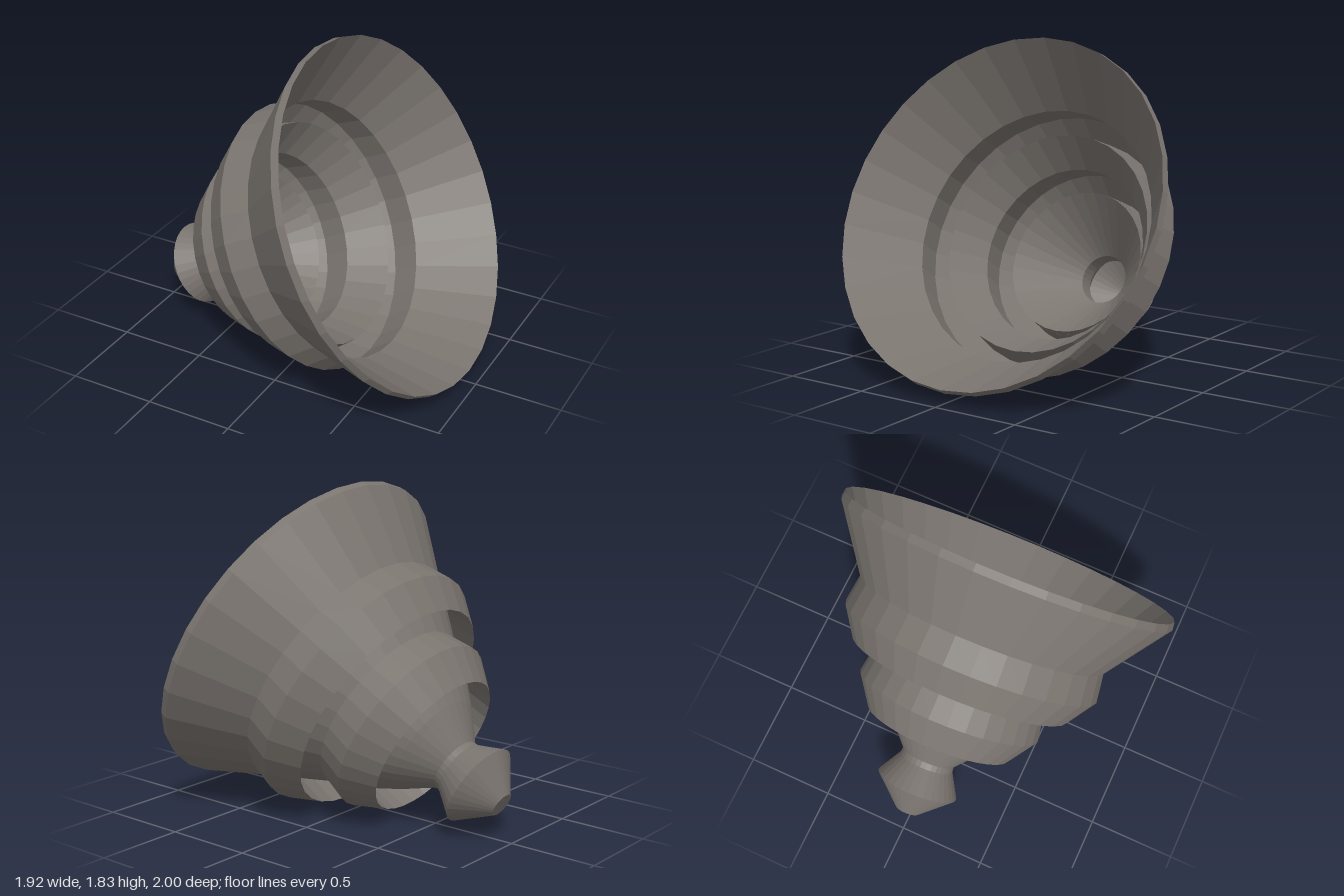
import * as THREE from 'three';

// Tilted, stepped bell with a thin double wall and a hollow knob at its narrow end.
export function createModel() {
  const root = new THREE.Group();
  const bell = new THREE.Group();
  bell.name = 'steppedBell';
  root.add(bell);

  const material = new THREE.MeshStandardMaterial({
    color: 0x7b7570, flatShading: true, side: THREE.DoubleSide,
  });

  // Each profile is [radius, height along axis]; height 0 is the mouth plane.
  const parts = {
    // Outside, from the rear to the mouth
    knob: [[0, -1.61], [0.07, -1.61], [0.241, -1.443], [0.161, -1.301], [0.157, -1.265]],
    crownCone: [[0.157, -1.265], [0.3, -1.1], [0.427, -0.93]],
    // Each step hangs over the cone behind it, leaving an undercut groove
    smallStep: [[0.427, -0.93], [0.434, -1.105], [0.547, -0.933], [0.518, -0.76]],
    middleCone: [[0.518, -0.76], [0.64, -0.575]],
    largeStep: [[0.64, -0.575], [0.66, -0.759], [0.768, -0.589], [0.742, -0.42]],
    mouthCone: [[0.742, -0.42], [0.999, -0.043]],
    rim: [[0.999, -0.043], [0.992, 0.002]],
    // Inside, from the mouth to the rear
    mouthLining: [[0.992, 0.002], [0.73, -0.398]],
    largeStepLining: [[0.73, -0.398], [0.757, -0.57], [0.672, -0.715], [0.636, -0.534]],
    middleLining: [[0.636, -0.534], [0.507, -0.74]],
    smallStepLining: [[0.507, -0.74], [0.536, -0.915], [0.446, -1.065], [0.42, -0.885]],
    crownLining: [[0.42, -0.885], [0.145, -1.23]],
    knobLining: [[0.145, -1.23], [0.145, -1.326], [0.212, -1.44], [0.055, -1.58], [0, -1.58]],
  };
  for (const [name, profile] of Object.entries(parts)) {
    const points = profile.map(([r, h]) => new THREE.Vector2(r, h));
    const mesh = new THREE.Mesh(new THREE.LatheGeometry(points, 32), material);
    mesh.name = name;
    bell.add(mesh);
  }

  // Lean the axis so the mouth opens toward +x and upward
  bell.rotation.z = -1.0815;
  bell.position.set(0.49, 0.955, 0);
  return root;
}
